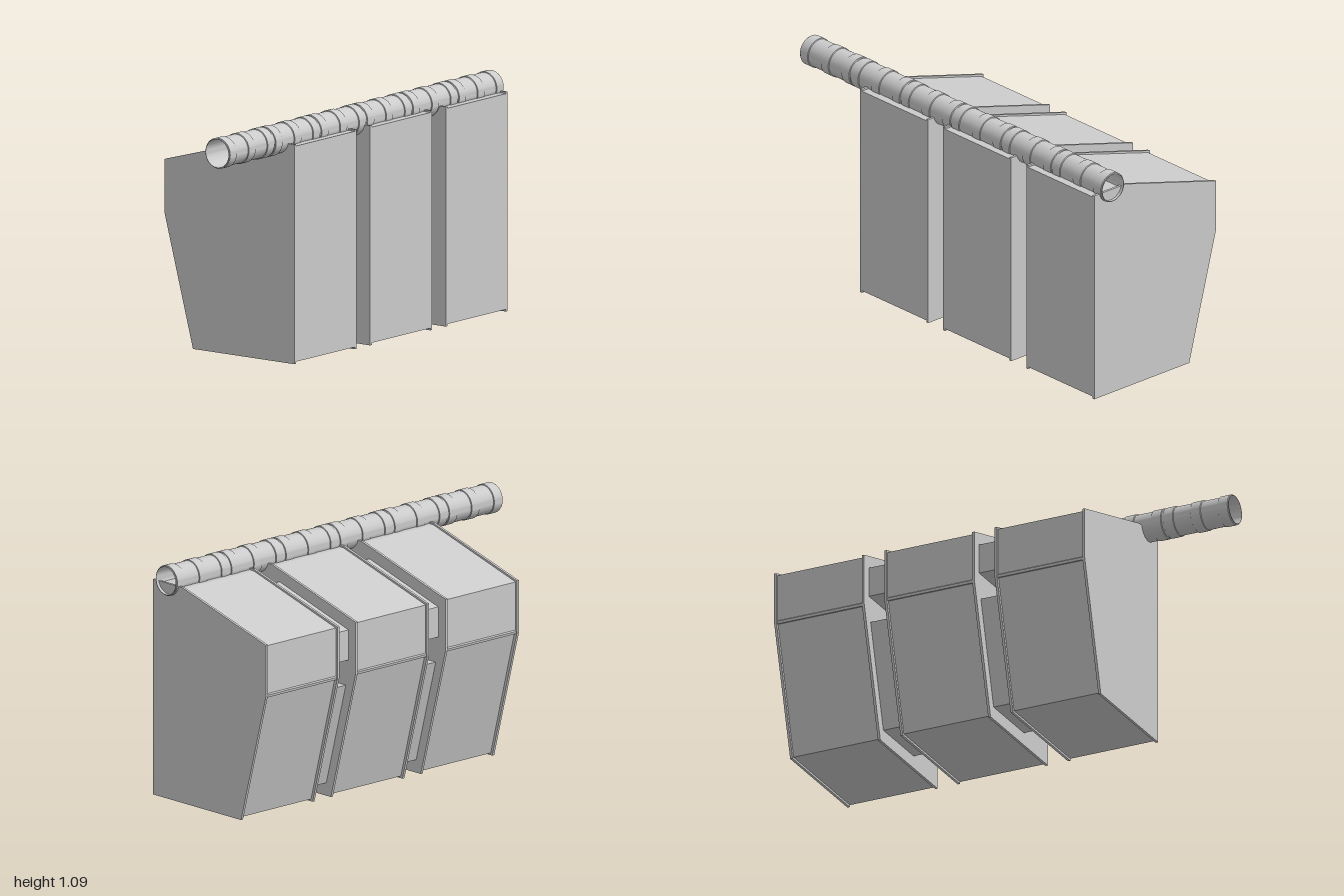
import * as THREE from 'three';
import { toCreasedNormals } from 'three/addons/utils/BufferGeometryUtils.js';

const grey = new THREE.MeshStandardMaterial({ color: 0xcccccc });
const greyDouble = new THREE.MeshStandardMaterial({ color: 0xcccccc, side: THREE.DoubleSide });

// Extrudes a side profile of [z, y] points along x from x0 to x1
function slab(name, profile, x0, x1) {
  const shape = new THREE.Shape(profile.map(([z, y]) => new THREE.Vector2(-z, y)));
  const geometry = new THREE.ExtrudeGeometry(shape, { depth: x1 - x0, bevelEnabled: false });
  geometry.rotateY(Math.PI / 2).translate(x0, 0, 0);
  const mesh = new THREE.Mesh(geometry, grey);
  mesh.name = name;
  return mesh;
}

const sideProfile = [
  [0.37, 0], [0.37, 1], [0.18, 1], [-0.367, 0.845], [-0.367, 0.605], [-0.205, 0],
];
// The body sits just inside the side panels, with a small lip at the rear fold
const bodyProfile = [
  [0.37, 0.01], [0.37, 0.992], [0.18, 0.992], [-0.357, 0.838],
  [-0.357, 0.615], [-0.363, 0.61], [-0.36, 0.598], [-0.35, 0.6], [-0.195, 0.01],
];
const upperLinkProfile = [[0.13, 0.66], [0.13, 0.93], [-0.32, 0.8], [-0.32, 0.66]];
const lowerLinkProfile = [[0.13, 0.06], [0.13, 0.54], [-0.303, 0.54], [-0.175, 0.06]];

function createCabinet(x0, width) {
  const cabinet = new THREE.Group();
  cabinet.name = 'cabinet';
  const panel = 0.012;
  const x1 = x0 + width;
  cabinet.add(
    slab('rightSidePanel', sideProfile, x0, x0 + panel),
    slab('cabinetBody', bodyProfile, x0 + panel, x1 - panel),
    slab('leftSidePanel', sideProfile, x1 - panel, x1),
  );
  return cabinet;
}

// Open duct: six equal sections, each with three raised bands
function createDuct() {
  const sections = 6, length = 2 / sections, half = 0.026;
  const base = 0.066, raised = 0.07, inner = 0.0645;
  const points = [new THREE.Vector2(inner, -1), new THREE.Vector2(base, -1)];
  for (let i = 0; i < sections; i++) {
    for (const offset of [0.03, length / 2, length - 0.03]) {
      const c = -1 + i * length + offset;
      points.push(
        new THREE.Vector2(base, c - half), new THREE.Vector2(raised, c - half + 0.002),
        new THREE.Vector2(raised, c + half - 0.002), new THREE.Vector2(base, c + half),
      );
    }
  }
  points.push(new THREE.Vector2(base, 1), new THREE.Vector2(inner, 1), new THREE.Vector2(inner, -1));
  const geometry = toCreasedNormals(new THREE.LatheGeometry(points, 48), 0.5);
  geometry.rotateZ(-Math.PI / 2);
  const duct = new THREE.Mesh(geometry, greyDouble);
  duct.name = 'bandedDuct';
  duct.position.set(0, 1.015, 0.27);
  return duct;
}

export function createModel() {
  const model = new THREE.Group();
  model.name = 'cabinetRow';
  const width = 0.45, pitch = 0.55, start = -0.565;
  for (let i = 0; i < 3; i++) {
    const x = start + i * pitch;
    model.add(createCabinet(x, width));
    // Connecting blocks in the gap to the next cabinet
    if (i < 2) {
      model.add(
        slab('upperLink', upperLinkProfile, x + width, x + pitch),
        slab('lowerLink', lowerLinkProfile, x + width, x + pitch),
      );
    }
  }
  model.add(createDuct());
  return model;
}
